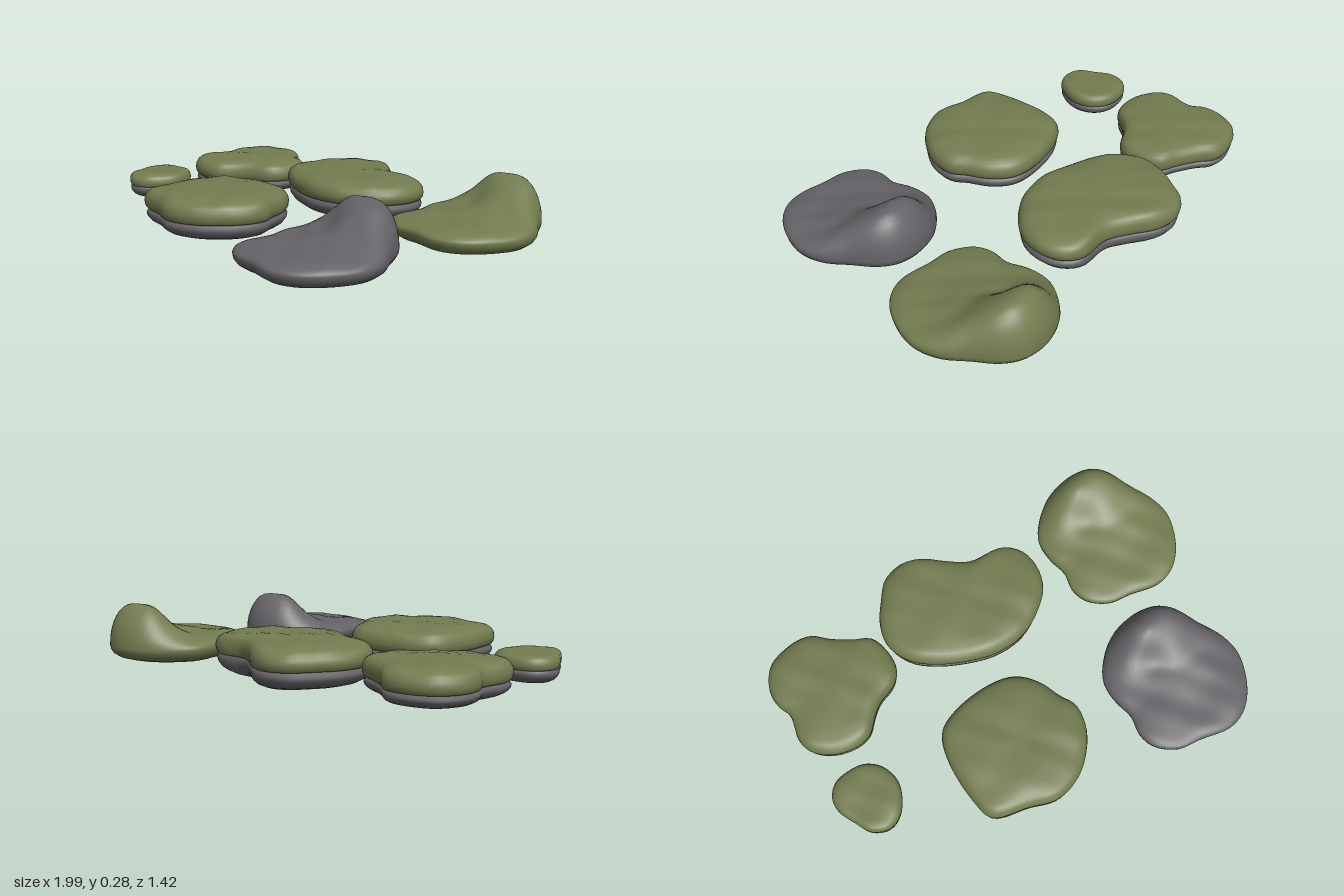
import * as THREE from 'three';
import { mergeVertices } from 'three/addons/utils/BufferGeometryUtils.js';

const moss = new THREE.MeshStandardMaterial({ color: 0x737c50, roughness: 1 });
const rock = new THREE.MeshStandardMaterial({ color: 0x656367, roughness: 1 });
const SIDES = 72;

// Plan outlines in hundredths of a unit: x, z pairs, from the back towards +x
const outlines = {
  lobed: [-81, -64, -72, -63, -65, -57, -56, -51, -49, -47, -46, -37, -47, -29, -51, -24, -60, -20, -65, -16,
    -72, -9, -80, -7.5, -90, -10, -97, -16, -99, -23, -97, -35, -99.5, -42, -99, -51, -93, -60],
  bean: [-21, -71.5, -12, -69, -2, -61.5, 7.5, -55.5, 23.5, -54, 30, -48, 32, -39, 29, -28, 20, -19, 8.5, -13,
    -5, -12, -18, -15.5, -31.5, -22, -40.5, -29.5, -45, -40, -43, -51, -37.5, -60, -30.5, -68.5],
  pebble: [-88, 0, -80, 1, -74, 6, -71.5, 14.5, -74, 23, -79, 29, -85, 31, -92, 28, -96, 21, -99.5, 13, -99, 6.5, -94.5, 1.5],
  square: [-18, -1, -5, 1.5, 3, 9.5, 7.5, 20, 11, 27, 9.5, 37.5, 3, 47.5, -6.5, 55, -18, 58, -30, 54.5,
    -46, 50, -49, 40, -49, 18.5, -45, 7, -37, 2],
  boulder: [68.5, -69, 78, -67, 85, -61.5, 91.5, -51, 97.5, -41, 99.5, -30.5, 96.5, -20, 90.5, -10.5, 83.5, -5,
    75.5, -3, 62, -5.5, 51.5, -7, 43, -13.5, 40.5, -21.5, 42, -30.5, 40, -40, 40.5, -50, 47, -59.5, 56.5, -66.5],
};

const bump = (x, z, cx, cz, rx, rz) => Math.exp(-(((x - cx) / rx) ** 2) - ((z - cz) / rz) ** 2);
const ripple = (x, z) => 0.004 * Math.sin(17 * x + 5 * z) * Math.cos(19 * z - 4 * x) + 0.002 * Math.sin(37 * x - 29 * z);

// Smooth closed loop of points through an outline
function loop(outline) {
  const pts = [];
  for (let i = 0; i < outline.length; i += 2) pts.push(new THREE.Vector3(outline[i] / 100, 0, outline[i + 1] / 100));
  return new THREE.CatmullRomCurve3(pts, true).getSpacedPoints(SIDES).slice(0, SIDES);
}

// Skin rings [scale, heightRule(x, z)] listed from the bottom centre to the top centre
function skin(outline, rings) {
  const pts = loop(outline);
  const box = new THREE.Box3().setFromPoints(pts);
  const c = box.getCenter(new THREE.Vector3());
  const pos = [], index = [];
  rings.forEach(([s, height], r) => {
    pts.forEach((p, i) => {
      const x = c.x + (p.x - c.x) * s, z = c.z + (p.z - c.z) * s;
      pos.push(x, height(x, z), z);
      if (r === rings.length - 1) return;
      const a = r * SIDES + i, b = r * SIDES + (i + 1) % SIDES;
      index.push(a, a + SIDES, b, b, a + SIDES, b + SIDES);
    });
  });
  let geo = new THREE.BufferGeometry();
  geo.setAttribute('position', new THREE.Float32BufferAttribute(pos, 3));
  geo.setIndex(index);
  geo = mergeVertices(geo, 1e-5);
  geo.computeVertexNormals();
  return geo;
}

function addMesh(parent, name, geo, material) {
  const mesh = new THREE.Mesh(geo, material);
  mesh.name = name;
  parent.add(mesh);
  return mesh;
}

// Flat stepping stone: a shallow rock bowl with a cushion of moss on it
function steppingStone(name, outline, bottom, split, top) {
  const group = new THREE.Group();
  group.name = name;
  const rise = split - bottom, puff = top - split;
  const base = [[0, 0], [0.3, 0.02], [0.55, 0.07], [0.72, 0.16], [0.84, 0.3], [0.92, 0.47], [0.965, 0.68],
    [0.975, 0.85], [0.955, 1], [0.9, 1.08], [0, 1.08]];
  const cushion = [[0, 0.02], [0.9, 0.02], [0.96, 0.06], [0.99, 0.18], [1, 0.36], [0.99, 0.54], [0.96, 0.7], [0.91, 0.81],
    [0.83, 0.89], [0.7, 0.94], [0.55, 0.96], [0.4, 0.97], [0.2, 0.98], [0, 0.98]];
  addMesh(group, 'stoneBase', skin(outline, base.map(([s, t]) => [s, () => bottom + rise * t])), rock);
  addMesh(group, 'mossTop', skin(outline, cushion.map(([s, t]) =>
    [s, (x, z) => split + puff * t + ripple(x, z) * t])), moss);
  return group;
}

// Boulder: rounded belly, low front shelf and a tall hump near the back
function boulderGeometry() {
  const rim = 0.095;
  const crown = (x, z) => 0.132 + 0.15 * bump(x, z, 0.77, -0.6, 0.2, 0.22)
    + 0.06 * bump(x, z, 0.6, -0.59, 0.11, 0.13)
    - 0.028 * bump(x, z, 0.62, -0.45, 0.08, 0.06)
    - 0.015 * bump(x, z, 0.76, -0.38, 0.12, 0.06) + ripple(x, z);
  const rings = [[0, 0.022], [0.3, 0.023], [0.55, 0.026], [0.75, 0.033], [0.87, 0.044], [0.95, 0.06], [0.99, 0.078]]
    .map(([s, y]) => [s, () => y]);
  for (const s of [1, 0.99, 0.97, 0.94, 0.9, 0.85, 0.79, 0.72, 0.64, 0.56, 0.48, 0.4, 0.32, 0.24, 0.16, 0.08, 0]) {
    const swell = Math.sqrt(1 - s ** 6);
    rings.push([s, (x, z) => rim + (crown(x, z) - rim) * swell]);
  }
  return skin(outlines.boulder, rings);
}

export function createModel() {
  const model = new THREE.Group();
  model.name = 'steppingStones';
  model.add(
    steppingStone('lobedStone', outlines.lobed, 0.02, 0.085, 0.185),
    steppingStone('beanStone', outlines.bean, 0.01, 0.1, 0.203),
    steppingStone('pebbleStone', outlines.pebble, 0.03, 0.09, 0.155),
    steppingStone('squareStone', outlines.square, 0.004, 0.088, 0.198),
  );
  // The same boulder twice: mossy at the back, bare at the front
  const geo = boulderGeometry();
  addMesh(model, 'mossyBoulder', geo, moss);
  addMesh(model, 'bareBoulder', geo, rock).position.set(-0.123, -0.01, 0.733);
  return model;
}
